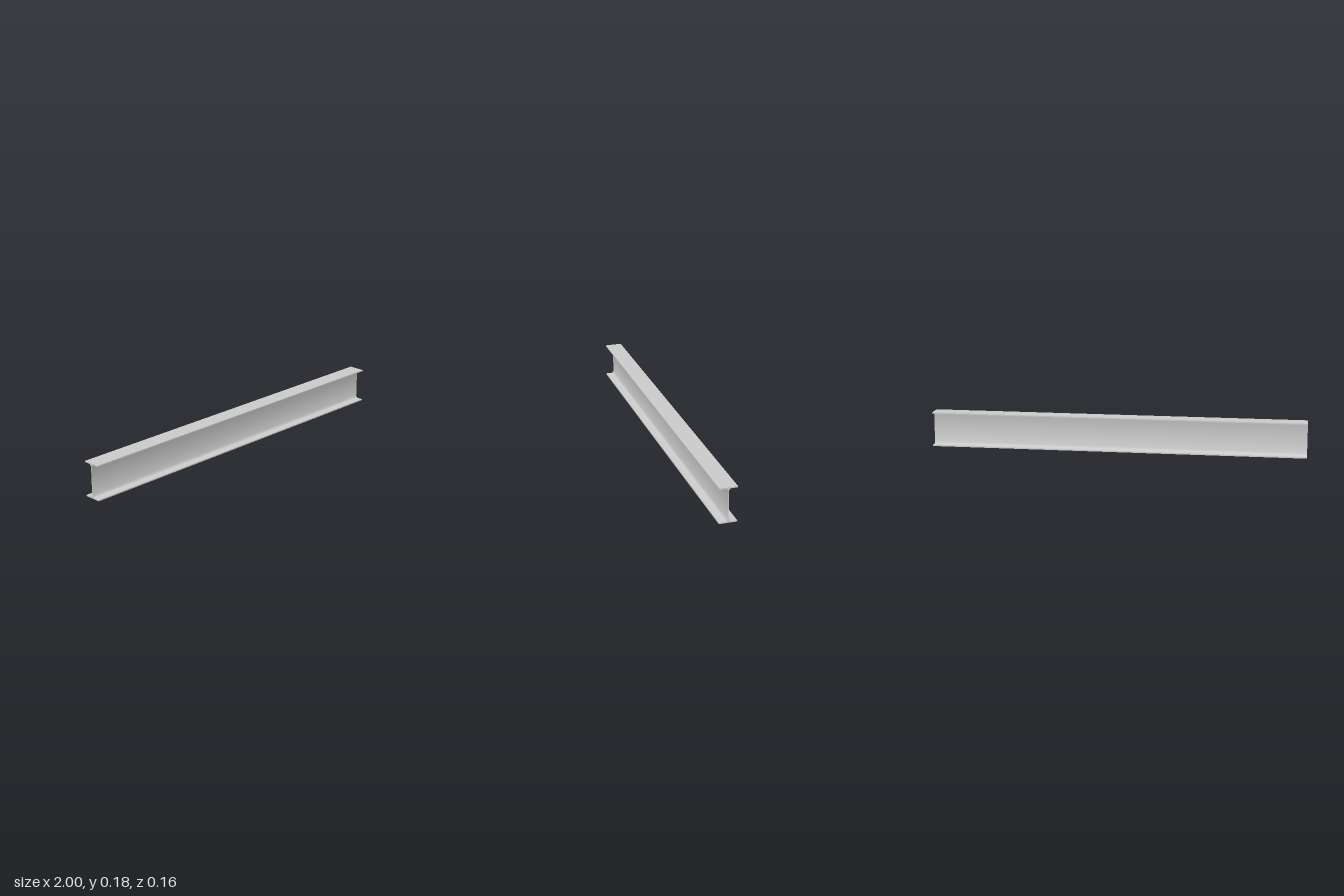
import * as THREE from 'three';
import { toCreasedNormals } from 'three/addons/utils/BufferGeometryUtils.js';

const HEIGHT = 0.184, WIDTH = 0.0915, LENGTH = 1.998;
const WEB = 0.0042, FLANGE = 0.006, FILLET = 0.014;
const YAW = 0.0356; // the beam lies slightly askew to the x axis

// I-shaped cross-section with a rounded fillet where web meets flange
function beamSection() {
  const w = WIDTH / 2, t = WEB / 2, r = FILLET;
  const low = FLANGE, high = HEIGHT - FLANGE;
  const s = new THREE.Shape();
  s.moveTo(-w, 0);
  s.lineTo(w, 0);
  s.lineTo(w, low);
  s.lineTo(t + r, low);
  s.absarc(t + r, low + r, r, -Math.PI / 2, -Math.PI, true);
  s.lineTo(t, high - r);
  s.absarc(t + r, high - r, r, Math.PI, Math.PI / 2, true);
  s.lineTo(w, high);
  s.lineTo(w, HEIGHT);
  s.lineTo(-w, HEIGHT);
  s.lineTo(-w, high);
  s.lineTo(-t - r, high);
  s.absarc(-t - r, high - r, r, Math.PI / 2, 0, true);
  s.lineTo(-t, low + r);
  s.absarc(-t - r, low + r, r, 0, -Math.PI / 2, true);
  s.lineTo(-w, low);
  s.closePath();
  return s;
}

export function createModel() {
  const group = new THREE.Group();
  group.name = 'steelBeam';

  // One straight extrusion: both flanges, web and fillets
  const geometry = new THREE.ExtrudeGeometry(beamSection(), {
    depth: LENGTH, bevelEnabled: false, curveSegments: 8,
  });
  geometry.translate(0, 0, -LENGTH / 2);
  const beam = new THREE.Mesh(
    toCreasedNormals(geometry, Math.PI / 6),
    new THREE.MeshStandardMaterial({ color: 0xcccccc }),
  );
  beam.name = 'iBeam';
  beam.rotation.y = Math.PI / 2 - YAW;
  group.add(beam);
  return group;
}
